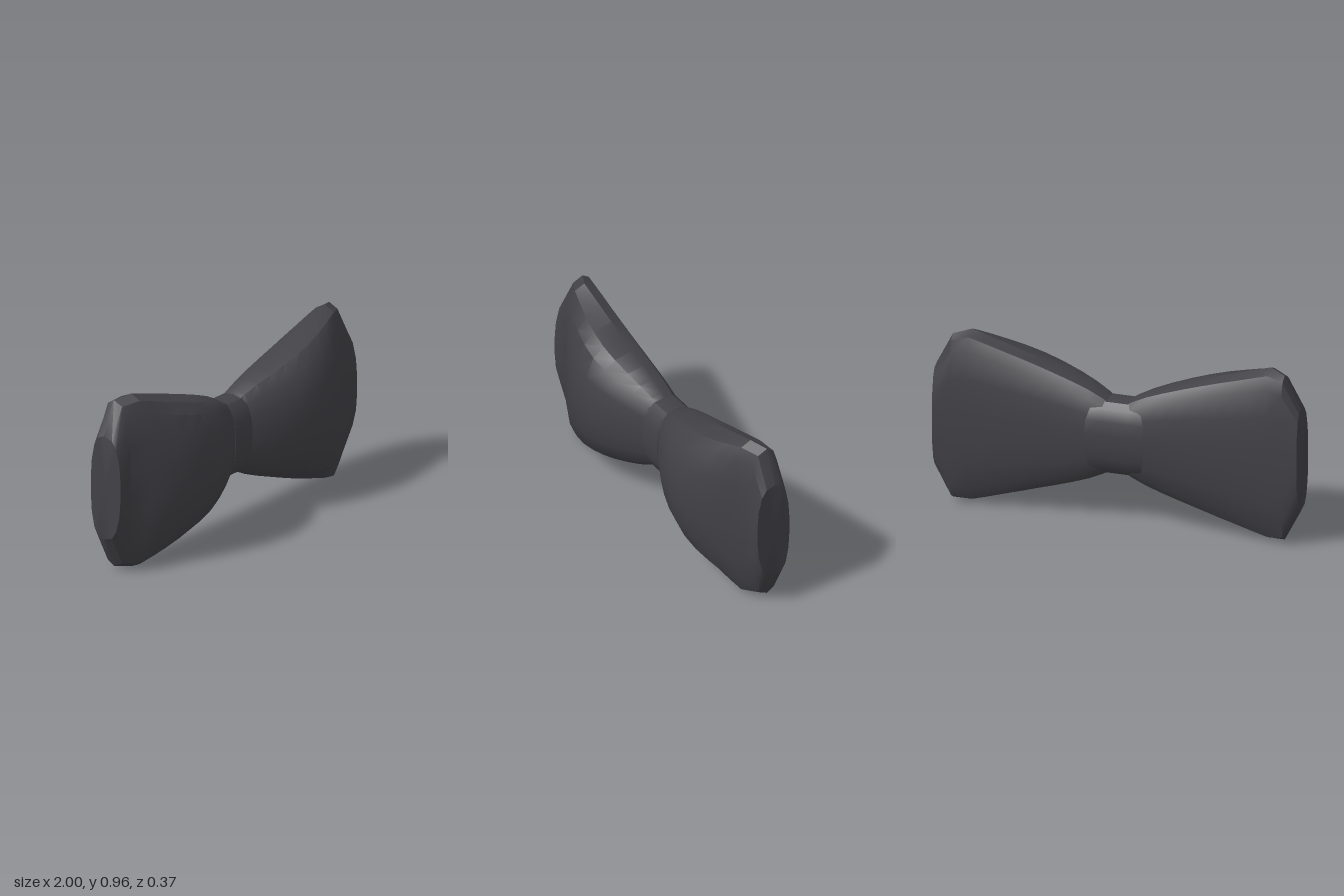
import * as THREE from 'three';
import { toCreasedNormals } from 'three/addons/utils/BufferGeometryUtils.js';

const MID_Y = 0.483;

// Quarter of the rounded section: [share of half height, share of depth], centre to edge
const QUARTER = [[0.16, 1], [0.5, 0.93], [0.8, 0.735], [0.945, 0.48]];

// Full closed section as [v, t]; t > 0 bulges to the front, t < 0 to the back
function unitSection() {
  const top = [
    ...QUARTER,
    [1, 0],
    ...QUARTER.slice().reverse().map(([v, t]) => [v, -t]),
  ];
  return [...top, ...top.slice().reverse().map(([v, t]) => [-v, t])];
}
const SECTION = unitSection();

// Section with half height h, front and back depth, and z of its top and bottom edge
function ring(xAt, h, front, back, edge) {
  return SECTION.map(([v, t]) => {
    const z = edge + (t > 0 ? t * (front - edge) : t * (edge - back));
    return new THREE.Vector3(xAt(z), MID_Y + v * h, z);
  });
}

// Skin through rings ordered along +x, closed by a cap at each end
function loft(rings) {
  const n = SECTION.length;
  const points = rings.flat();
  const index = [];
  for (let i = 0; i < rings.length - 1; i++) {
    for (let j = 0; j < n; j++) {
      const k = (j + 1) % n;
      const a = i * n + j, b = i * n + k, c = b + n, d = a + n;
      index.push(a, d, c, a, c, b);
    }
  }
  [rings[0], rings[rings.length - 1]].forEach((r, end) => {
    const base = points.length;
    const centre = new THREE.Vector3();
    r.forEach((p) => centre.addScaledVector(p, 1 / n));
    points.push(...r, centre);
    for (let j = 0; j < n; j++) {
      const k = (j + 1) % n;
      if (end) index.push(base + n, base + k, base + j);
      else index.push(base + n, base + j, base + k);
    }
  });
  const geometry = new THREE.BufferGeometry().setFromPoints(points);
  geometry.setIndex(index);
  return toCreasedNormals(geometry, 0.5);
}

// Wing stations: x, half height, front z, edge z
const WING = [
  [0.04, 0.2, 0.035, -0.07],
  [0.08, 0.225, 0.06, -0.07],
  [0.16, 0.265, 0.1, -0.065],
  [0.25, 0.3, 0.14, -0.06],
  [0.35, 0.335, 0.173, -0.055],
  [0.45, 0.368, 0.187, -0.05],
  [0.55, 0.4, 0.178, -0.05],
  [0.65, 0.43, 0.15, -0.05],
  [0.74, 0.458, 0.11, -0.05],
  [0.82, 0.481, 0.07, -0.05],
  [0.91, 0.462, 0.02, -0.095],
  [1.0, 0.287, 0.02, -0.09],
];

function wing(side) {
  const rings = WING.map(([x, h, front, edge]) =>
    ring(() => side * x, h, front, -0.176, edge));
  return loft(side > 0 ? rings : rings.reverse());
}

// Knot band: narrow at the front, flaring wider at the back
function knot() {
  const halfWidth = (z) => 0.07 + 0.092 * THREE.MathUtils.clamp((-0.07 - z) / 0.115, 0, 1);
  return loft([-1, -0.5, 0, 0.5, 1].map((s) =>
    ring((z) => s * halfWidth(z), 0.211, 0.056, -0.187, -0.07)));
}

export function createModel() {
  const group = new THREE.Group();
  group.name = 'bowTie';
  const cloth = new THREE.MeshStandardMaterial({ color: 0x424146 });
  cloth.name = 'charcoal cloth';

  const parts = { leftWing: wing(1), rightWing: wing(-1), knot: knot() };
  for (const [name, geometry] of Object.entries(parts)) {
    const mesh = new THREE.Mesh(geometry, cloth);
    mesh.name = name;
    group.add(mesh);
  }
  return group;
}
